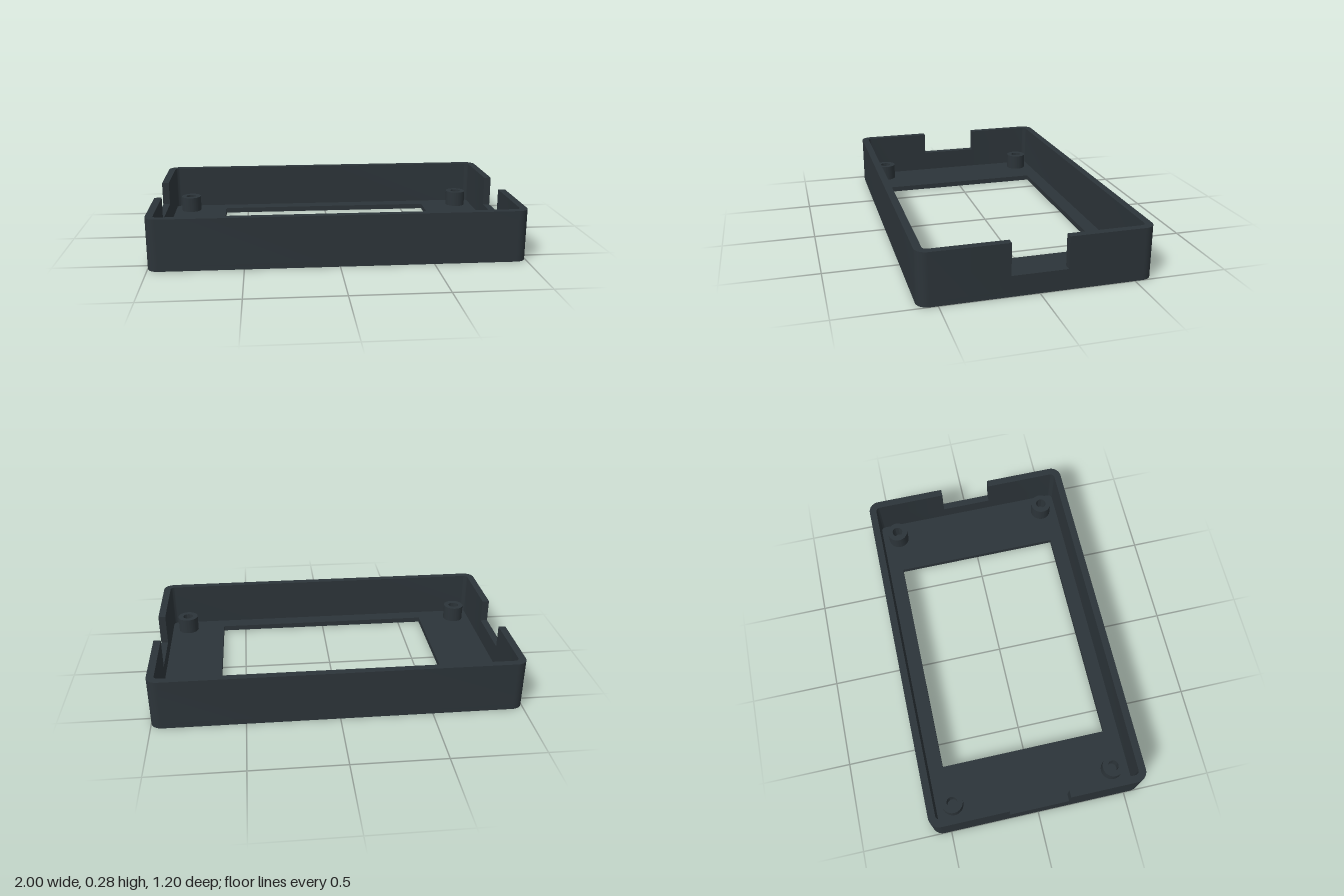
import * as THREE from 'three';
import { toCreasedNormals } from 'three/addons/utils/BufferGeometryUtils.js';

const W = 1, D = 0.6, H = 0.28;        // half width, half depth, height
const WALL = 0.04, FLOOR = 0.03;
const R_OUT = 0.06, R_IN = 0.025;      // corner radii
const LEFT = { half: 0.145, sill: 0.11 };   // cable notch on the +x wall
const RIGHT = { half: 0.168, sill: 0.15 };  // cable notch on the -x wall

const plastic = new THREE.MeshStandardMaterial({ color: 0x2c3439 });
plastic.name = 'dark slate plastic';

// Points on an arc, in plan (x, z)
function arc(cx, cz, r, from, to, n = 10) {
  return Array.from({ length: n + 1 }, (_, i) => {
    const a = from + ((to - from) * i) / n;
    return new THREE.Vector2(cx + r * Math.cos(a), cz + r * Math.sin(a));
  });
}

// Extrude a plan shape upward from y0 to y1
function slab(name, shape, y0, y1) {
  const raw = new THREE.ExtrudeGeometry(shape, { depth: y1 - y0, bevelEnabled: false, curveSegments: 32 });
  raw.rotateX(-Math.PI / 2).translate(0, y0, 0);
  const mesh = new THREE.Mesh(toCreasedNormals(raw, 0.5), plastic);
  mesh.name = name;
  return mesh;
}

// C-shaped wall running round one long side, between the two notches
function wallShape(side) {
  const q = Math.PI / 2, w = W - WALL, d = D - WALL;
  const pts = [
    new THREE.Vector2(W, LEFT.half),
    ...arc(W - R_OUT, D - R_OUT, R_OUT, 0, q),
    ...arc(-W + R_OUT, D - R_OUT, R_OUT, q, 2 * q),
    new THREE.Vector2(-W, RIGHT.half),
    new THREE.Vector2(-w, RIGHT.half),
    ...arc(-w + R_IN, d - R_IN, R_IN, 2 * q, q),
    ...arc(w - R_IN, d - R_IN, R_IN, q, 0),
    new THREE.Vector2(w, LEFT.half),
  ];
  return new THREE.Shape(pts.map((p) => new THREE.Vector2(p.x, -side * p.y)));
}

export function createModel() {
  const model = new THREE.Group();
  model.name = 'displayCase';

  // Floor plate with the rectangular screen window
  const q = Math.PI / 2, cx = W - R_OUT, cz = D - R_OUT;
  const plate = new THREE.Shape([
    ...arc(cx, cz, R_OUT, 0, q),
    ...arc(-cx, cz, R_OUT, q, 2 * q),
    ...arc(-cx, -cz, R_OUT, 2 * q, 3 * q),
    ...arc(cx, -cz, R_OUT, 3 * q, 4 * q),
  ]);
  const wx = 0.638, wz = 0.477;
  plate.holes.push(new THREE.Path([
    new THREE.Vector2(-wx, -wz), new THREE.Vector2(-wx, wz),
    new THREE.Vector2(wx, wz), new THREE.Vector2(wx, -wz),
  ]));
  model.add(slab('floorPlate', plate, 0, FLOOR));

  // Front and back walls, wrapping the corners
  model.add(slab('frontWall', wallShape(1), FLOOR, H));
  model.add(slab('backWall', wallShape(-1), FLOOR, H));

  // Low wall under each cable notch
  for (const [name, side, notch] of [['leftSill', 1, LEFT], ['rightSill', -1, RIGHT]]) {
    const h = notch.sill - FLOOR;
    const sill = new THREE.Mesh(new THREE.BoxGeometry(WALL, h, notch.half * 2), plastic);
    sill.position.set(side * (W - WALL / 2), FLOOR + h / 2, 0);
    sill.name = name;
    model.add(sill);
  }

  // Hollow screw posts in the four corners
  const ring = new THREE.Shape().absarc(0, 0, 0.06, 0, Math.PI * 2);
  ring.holes.push(new THREE.Path().absarc(0, 0, 0.03, 0, Math.PI * 2, true));
  for (const x of [-0.86, 0.86]) {
    for (const z of [-0.463, 0.463]) {
      const post = slab('screwPost', ring, FLOOR, 0.12);
      post.position.set(x, 0, z);
      model.add(post);
    }
  }
  return model;
}
